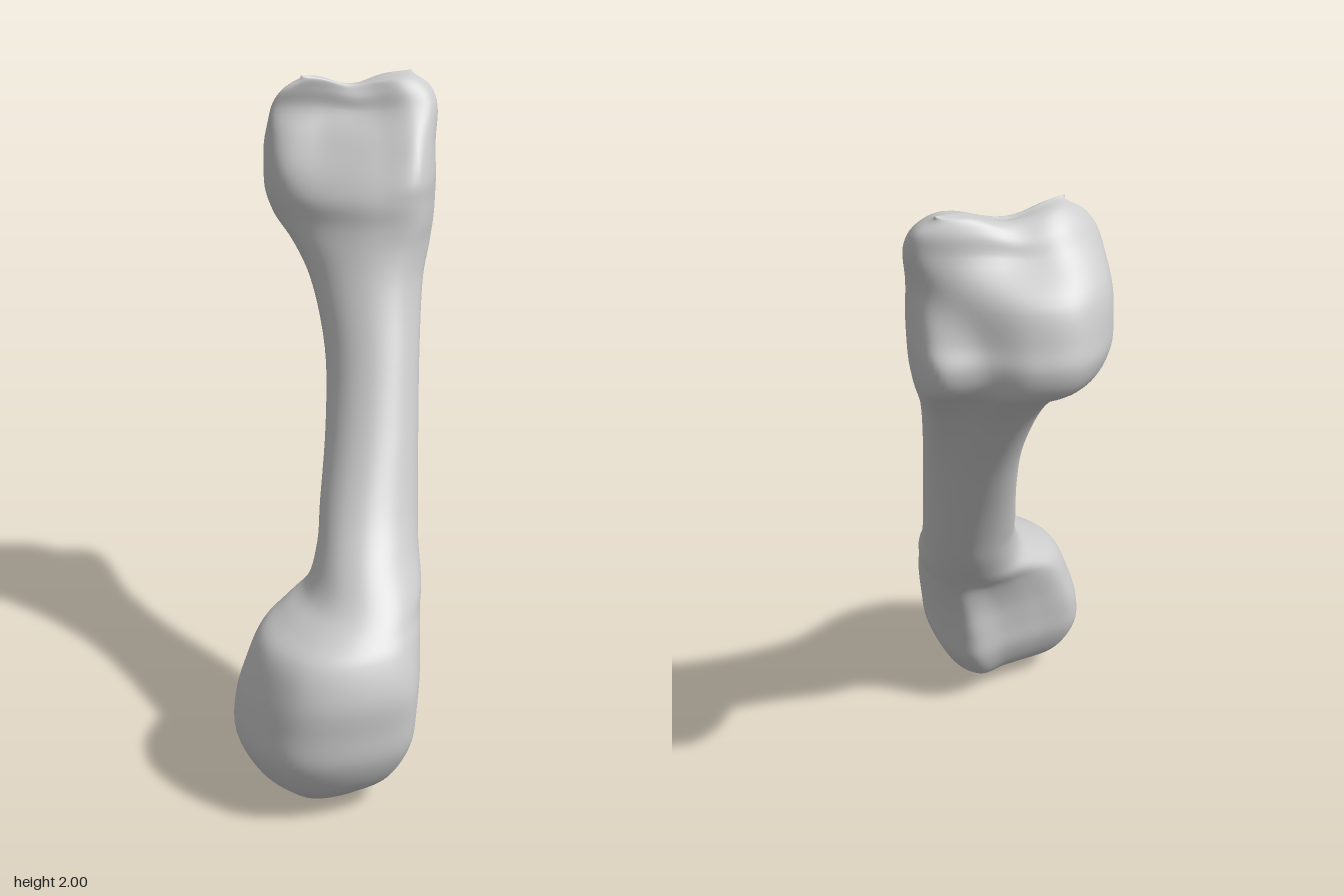
import * as THREE from 'three';
import { mergeVertices } from 'three/addons/utils/BufferGeometryUtils.js';

const COLUMNS = 96, ROWS_PER_LEVEL = 5;

// Outlines as [x, z] points, running from +x over the front to -x and the back
const oval = skew => Array.from({ length: 12 }, (_, i) => {
  const a = i * Math.PI / 6;
  return [Math.cos(a) + skew * Math.sin(a), Math.sin(a) + skew * Math.cos(a)];
});
const knuckle = [[0.045, 0.24], [0.025, 0.39], [-0.025, 0.52], [-0.1, 0.6], [-0.29, 0.59], [-0.43, 0.51],
  [-0.49, 0.35], [-0.465, 0.2], [-0.39, 0.12], [-0.25, 0.135], [-0.12, 0.155], [0.0, 0.16]];
const lowerShaft = oval(-0.15);
const upperShaft = oval(-0.01);
const head = [[0.485, -0.4], [0.465, -0.26], [0.4, -0.13], [0.28, -0.035], [0.16, -0.075], [0.05, -0.18],
  [-0.02, -0.31], [-0.02, -0.43], [0.06, -0.54], [0.2, -0.6], [0.31, -0.55], [0.38, -0.465]];
const neck = [[0.46, -0.28], [0.455, -0.2], [0.405, -0.13], [0.325, -0.09], [0.23, -0.17], [0.11, -0.285],
  [-0.02, -0.37], [-0.02, -0.44], [0.06, -0.53], [0.18, -0.555], [0.3, -0.5], [0.4, -0.39]];
const crest = [[0.475, -0.26], [0.465, -0.2], [0.42, -0.16], [0.35, -0.17], [0.26, -0.25], [0.14, -0.33],
  [-0.02, -0.39], [0, -0.43], [0.06, -0.46], [0.16, -0.465], [0.28, -0.4], [0.41, -0.33]];

// Levels: height, x range, z range, outline (fractions blend two neighbours)
const lower = [
  [0, -0.3, -0.21, 0.34, 0.42, 0], [0.02, -0.36, -0.155, 0.28, 0.455, 0],
  [0.05, -0.4, -0.09, 0.235, 0.495, 0], [0.1, -0.45, -0.03, 0.18, 0.55, 0],
  [0.2, -0.497, 0.03, 0.13, 0.597, 0], [0.3, -0.49, 0.045, 0.12, 0.603, 0],
  [0.4, -0.465, 0.065, 0.115, 0.6, 0.15], [0.5, -0.42, 0.095, 0.1, 0.56, 0.4],
  [0.55, -0.34, 0.11, 0.085, 0.52, 0.6], [0.6, -0.255, 0.13, 0.07, 0.475, 0.8],
  [0.7, -0.19, 0.16, 0.025, 0.385, 1], [0.8, -0.14, 0.19, -0.02, 0.305, 1.3],
];
const upper = [
  [1, -0.05, 0.24, -0.115, 0.19, 1.8], [1.2, 0.01, 0.3, -0.22, 0.09, 2.1],
  [1.4, 0.025, 0.385, -0.36, 0, 2.4], [1.5, 0.01, 0.45, -0.47, -0.025, 2.7],
  [1.57, -0.01, 0.49, -0.575, -0.03, 2.95], [1.64, -0.027, 0.497, -0.603, -0.033, 3.1],
  [1.7, -0.03, 0.48, -0.592, -0.04, 3.4], [1.8, -0.025, 0.46, -0.555, -0.09, 4],
  [1.9, -0.015, 0.473, -0.465, -0.16, 5], [1.955, 0.01, 0.462, -0.425, -0.195, 5],
  [1.99, 0.06, 0.42, -0.385, -0.235, 5],
];

// Smooth closed outline, scaled to fill -1..1 both ways
function outline(points) {
  const curve = new THREE.CatmullRomCurve3(points.map(([x, z]) => new THREE.Vector3(x, 0, z)), true);
  const ring = Array.from({ length: COLUMNS }, (_, i) => curve.getPoint(i / COLUMNS));
  const box = new THREE.Box3().setFromPoints(ring);
  const mid = box.getCenter(new THREE.Vector3()), size = box.getSize(new THREE.Vector3());
  return ring.map(p => new THREE.Vector3(2 * (p.x - mid.x) / size.x, 0, 2 * (p.z - mid.z) / size.z));
}

function createBoneGeometry() {
  const outlines = [knuckle, lowerShaft, upperShaft, head, neck, crest].map(outline);
  const rings = [...lower, ...upper].map(([y, x0, x1, z0, z1, key]) => {
    const k = Math.min(Math.floor(key), outlines.length - 2);
    return outlines[k].map((p, i) => {
      const q = p.clone().lerp(outlines[k + 1][i], key - k);
      return new THREE.Vector3((x0 + x1 + q.x * (x1 - x0)) / 2, y, (z0 + z1 + q.z * (z1 - z0)) / 2);
    });
  });

  // Close each end by folding its ring onto its own middle line
  const fold = (ring, y) => ring.map((p, i) =>
    p.clone().lerp(ring[(COLUMNS - i) % COLUMNS], 0.5).setY(y));
  rings.unshift(fold(rings[0], 0));
  rings[1].forEach(p => { p.y = 0.004; });
  rings.push(fold(rings[rings.length - 1], 2));

  // Saddle between the two bumps of the upper end
  for (const p of rings.flat()) {
    const rise = THREE.MathUtils.clamp((p.y - 1.85) / 0.15, 0, 1);
    p.y -= 0.04 * rise * Math.exp(-(((p.x - 0.23) / 0.08) ** 2));
  }

  // Run a smooth curve up every column and skin the result
  const rows = (rings.length - 1) * ROWS_PER_LEVEL;
  const columns = rings[0].map((_, i) => new THREE.CatmullRomCurve3(rings.map(r => r[i])));
  const positions = [], indices = [];
  for (let r = 0; r <= rows; r++) {
    for (let i = 0; i < COLUMNS; i++) {
      const p = columns[i].getPoint(r / rows);
      positions.push(p.x, THREE.MathUtils.clamp(p.y, 0, 2), p.z);
      if (r === rows) continue;
      const a = r * COLUMNS + i, b = r * COLUMNS + (i + 1) % COLUMNS;
      indices.push(a, a + COLUMNS, b, b, a + COLUMNS, b + COLUMNS);
    }
  }
  let geometry = new THREE.BufferGeometry();
  geometry.setAttribute('position', new THREE.Float32BufferAttribute(positions, 3));
  geometry.setIndex(indices);
  geometry = mergeVertices(geometry, 1e-5);
  geometry.computeVertexNormals();
  return geometry;
}

export function createModel() {
  const group = new THREE.Group();
  group.name = 'bone';
  const boneGrey = new THREE.MeshStandardMaterial({ color: 0xcccccc });
  boneGrey.name = 'bone grey';
  const bone = new THREE.Mesh(createBoneGeometry(), boneGrey);
  bone.name = 'boneBody';
  group.add(bone);
  return group;
}
